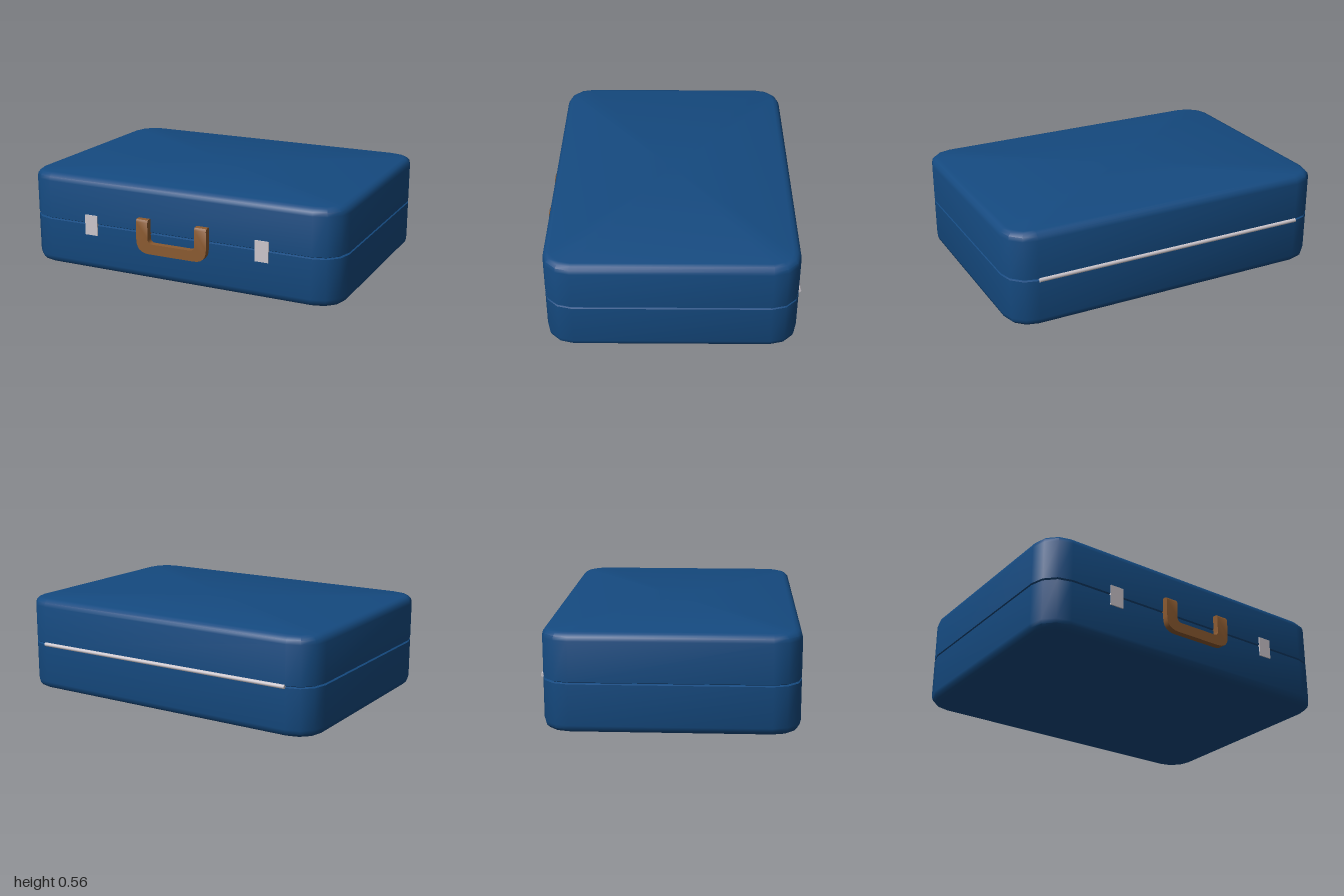
import * as THREE from 'three';
import { toCreasedNormals } from 'three/addons/utils/BufferGeometryUtils.js';

const HEIGHT = 0.563, HALF_X = 1, HALF_Z = 0.713, MID_Z = -0.01, CORNER = 0.16, EDGE = 0.045;
const blue = new THREE.MeshStandardMaterial({ color: 0x154a80 });
const leather = new THREE.MeshStandardMaterial({ color: 0x8b5a30 });
const metal = new THREE.MeshStandardMaterial({ color: 0xccc6cc });

// Rounded rectangle loop, pulled in by inset, three segments per corner
function ring(inset, y) {
  const points = [], r = CORNER - inset;
  for (let c = 0; c < 4; c++) {
    const sx = c === 0 || c === 3 ? 1 : -1, sz = c < 2 ? 1 : -1;
    for (let i = 0; i <= 3; i++) {
      const a = (c + i / 3) * Math.PI / 2;
      points.push([sx * (HALF_X - CORNER) + r * Math.cos(a), y, MID_Z + sz * (HALF_Z - CORNER) + r * Math.sin(a)]);
    }
  }
  return points;
}

// Closed loft through [inset, y] profile points, listed from bottom to top
function shellGeometry(profile) {
  const n = 16, positions = [], index = [];
  profile.forEach(([inset, y]) => positions.push(...ring(inset, y).flat()));
  const last = profile.length - 1, bottom = positions.length / 3, top = bottom + 1;
  positions.push(0, profile[0][1], MID_Z, 0, profile[last][1], MID_Z);
  for (let j = 0; j < n; j++) {
    const k = (j + 1) % n;
    for (let i = 0; i < last; i++) {
      const a = i * n + j, b = i * n + k;
      index.push(a, a + n, b, b, a + n, b + n);
    }
    index.push(bottom, j, k, top, last * n + k, last * n + j);
  }
  const geometry = new THREE.BufferGeometry();
  geometry.setAttribute('position', new THREE.Float32BufferAttribute(positions, 3));
  geometry.setIndex(index);
  return toCreasedNormals(geometry, 0.6);
}

// U-shaped grip with the upper ends rounded towards the front
function handleGeometry() {
  const s = new THREE.Shape();
  s.moveTo(-0.225, 0.372);
  s.lineTo(-0.225, 0.25);
  s.quadraticCurveTo(-0.225, 0.17, -0.145, 0.17);
  s.lineTo(0.145, 0.17);
  s.quadraticCurveTo(0.225, 0.17, 0.225, 0.25);
  s.lineTo(0.225, 0.372);
  s.lineTo(0.15, 0.372);
  s.lineTo(0.15, 0.262);
  s.quadraticCurveTo(0.15, 0.232, 0.12, 0.232);
  s.lineTo(-0.12, 0.232);
  s.quadraticCurveTo(-0.15, 0.232, -0.15, 0.262);
  s.lineTo(-0.15, 0.372);
  s.closePath();
  const depth = 0.048;
  const geometry = new THREE.ExtrudeGeometry(s, { depth, steps: 6, curveSegments: 6, bevelEnabled: false });
  const p = geometry.attributes.position, r = 0.016;
  for (let i = 0; i < p.count; i++) {
    const t = Math.max(0, (p.getZ(i) - depth + r) / r);
    if (p.getY(i) > 0.37) p.setY(i, p.getY(i) - r * (1 - Math.sqrt(Math.max(0, 1 - t * t))));
  }
  return toCreasedNormals(geometry, 0.6);
}

export function createModel() {
  const model = new THREE.Group();
  const add = (name, geometry, material, x = 0, y = 0, z = 0) => {
    const mesh = new THREE.Mesh(geometry, material);
    mesh.name = name;
    mesh.position.set(x, y, z);
    model.add(mesh);
    return mesh;
  };

  // Two matching shells meeting in a narrow seam
  const lower = [];
  for (let i = 0; i <= 3; i++) {
    const a = i * Math.PI / 6;
    lower.push([EDGE * (1 - Math.sin(a)), EDGE * (1 - Math.cos(a))]);
  }
  lower.push([0, HEIGHT / 2 - 0.006], [0.012, HEIGHT / 2]);
  const seamLift = 0.004;
  const upper = lower.map(([inset, y]) => [inset, HEIGHT - y]).reverse();
  lower[4][1] += seamLift;
  lower[5][1] += seamLift;
  upper[0][1] += seamLift;
  upper[1][1] += seamLift;
  add('lowerShell', shellGeometry(lower), blue);
  add('lid', shellGeometry(upper), blue);

  // Handle and latches on the front
  add('handle', handleGeometry(), leather, 0, 0, 0.693);
  for (const side of [1, -1]) {
    add(side > 0 ? 'leftLatch' : 'rightLatch', new THREE.BoxGeometry(0.083, 0.122, 0.02), metal, side * 0.55, 0.28, 0.7);
  }

  // Hinge rod along the back seam
  const hinge = add('hinge', new THREE.CylinderGeometry(0.012, 0.012, 1.68, 12), metal, 0, 0.285, -0.725);
  hinge.rotation.z = Math.PI / 2;
  return model;
}
